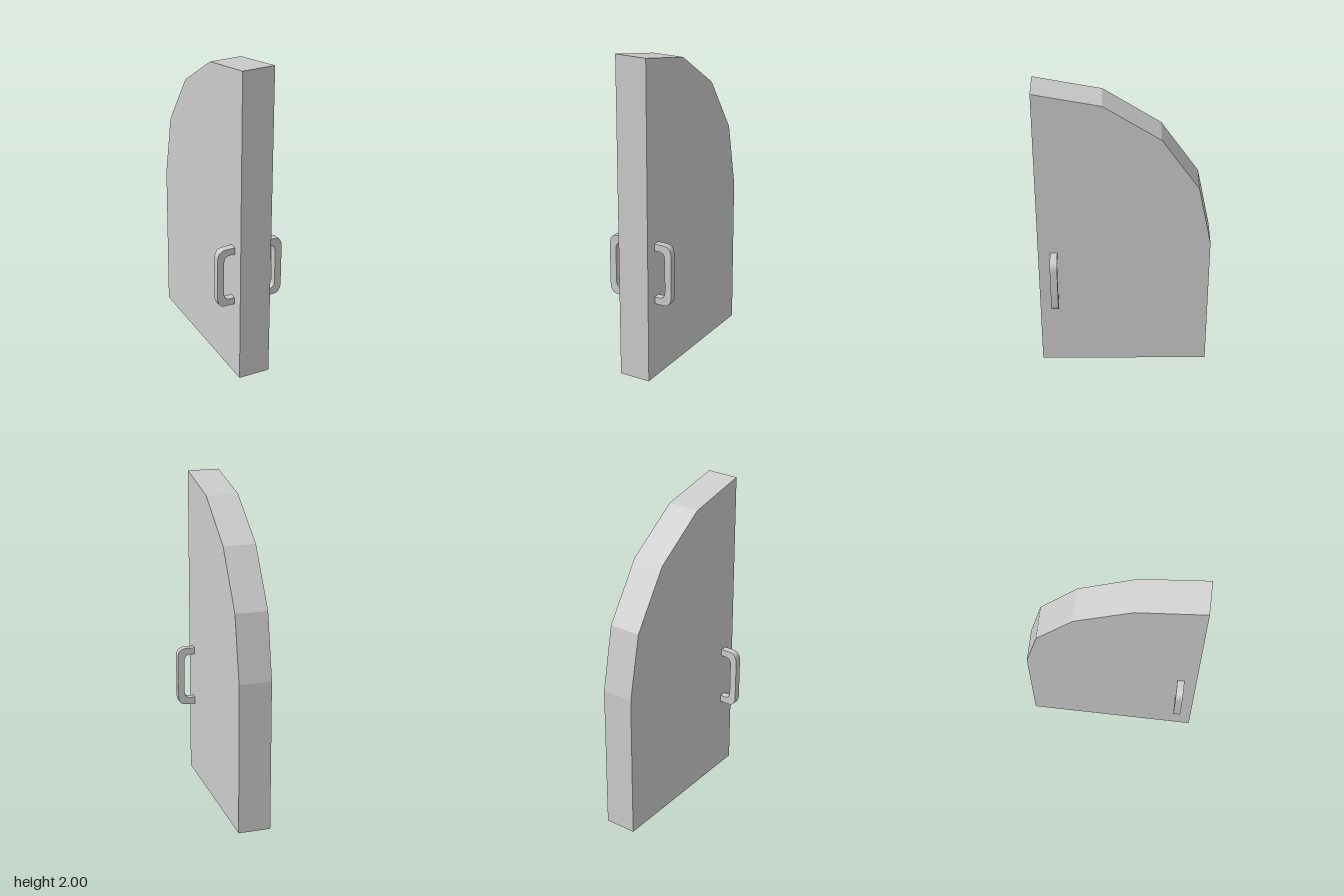
import * as THREE from 'three';
import { toCreasedNormals } from 'three/addons/utils/BufferGeometryUtils.js';

const HALF = 0.528;      // half the door's width along z
const THICK = 0.2;       // door thickness along x
const RADIUS = 2 * HALF; // quarter-arch radius
const SPRING = 2 - RADIUS;

// Rectangular slab whose back top corner is a faceted quarter arch
function doorGeometry() {
  const shape = new THREE.Shape();
  shape.moveTo(-HALF, 0);
  shape.lineTo(HALF, 0);
  for (let i = 0; i <= 4; i++) {
    const a = (i * Math.PI) / 8;
    shape.lineTo(HALF - RADIUS * Math.sin(a), SPRING + RADIUS * Math.cos(a));
  }
  shape.closePath();
  const geometry = new THREE.ExtrudeGeometry(shape, { depth: THICK, bevelEnabled: false });
  geometry.translate(0, 0, -THICK / 2);
  geometry.rotateY(-Math.PI / 2);
  return geometry;
}

// Rounded C-shaped pull, centred on y = 0, reaching out along +x
function handleGeometry() {
  const x0 = THICK / 2;
  const outX = 0.213, outY = 0.192, inX = 0.17, inY = 0.148, depth = 0.044;
  const shape = new THREE.Shape();
  shape.moveTo(x0, -outY);
  shape.lineTo(outX - 0.055, -outY);
  shape.quadraticCurveTo(outX, -outY, outX, -outY + 0.065);
  shape.lineTo(outX, outY - 0.065);
  shape.quadraticCurveTo(outX, outY, outX - 0.055, outY);
  shape.lineTo(x0, outY);
  shape.lineTo(x0, inY);
  shape.lineTo(inX - 0.04, inY);
  shape.quadraticCurveTo(inX, inY, inX, inY - 0.045);
  shape.lineTo(inX, -inY + 0.045);
  shape.quadraticCurveTo(inX, -inY, inX - 0.04, -inY);
  shape.lineTo(x0, -inY);
  shape.closePath();
  const geometry = new THREE.ExtrudeGeometry(shape, { depth, bevelEnabled: false, curveSegments: 6 });
  geometry.translate(0, 0, -depth / 2);
  return toCreasedNormals(geometry, Math.PI / 5);
}

export function createModel() {
  const model = new THREE.Group();
  model.name = 'archedDoor';
  const grey = new THREE.MeshStandardMaterial({ name: 'lightGrey', color: 0xcccccc });

  const panel = new THREE.Mesh(doorGeometry(), grey);
  panel.name = 'doorPanel';
  model.add(panel);

  // One pull handle on each face of the door
  const pull = handleGeometry();
  for (const [name, turn] of [['leftHandle', 0], ['rightHandle', Math.PI]]) {
    const handle = new THREE.Mesh(pull, grey);
    handle.name = name;
    handle.position.set(0, 0.68, 0.431);
    handle.rotation.y = turn;
    model.add(handle);
  }
  return model;
}
